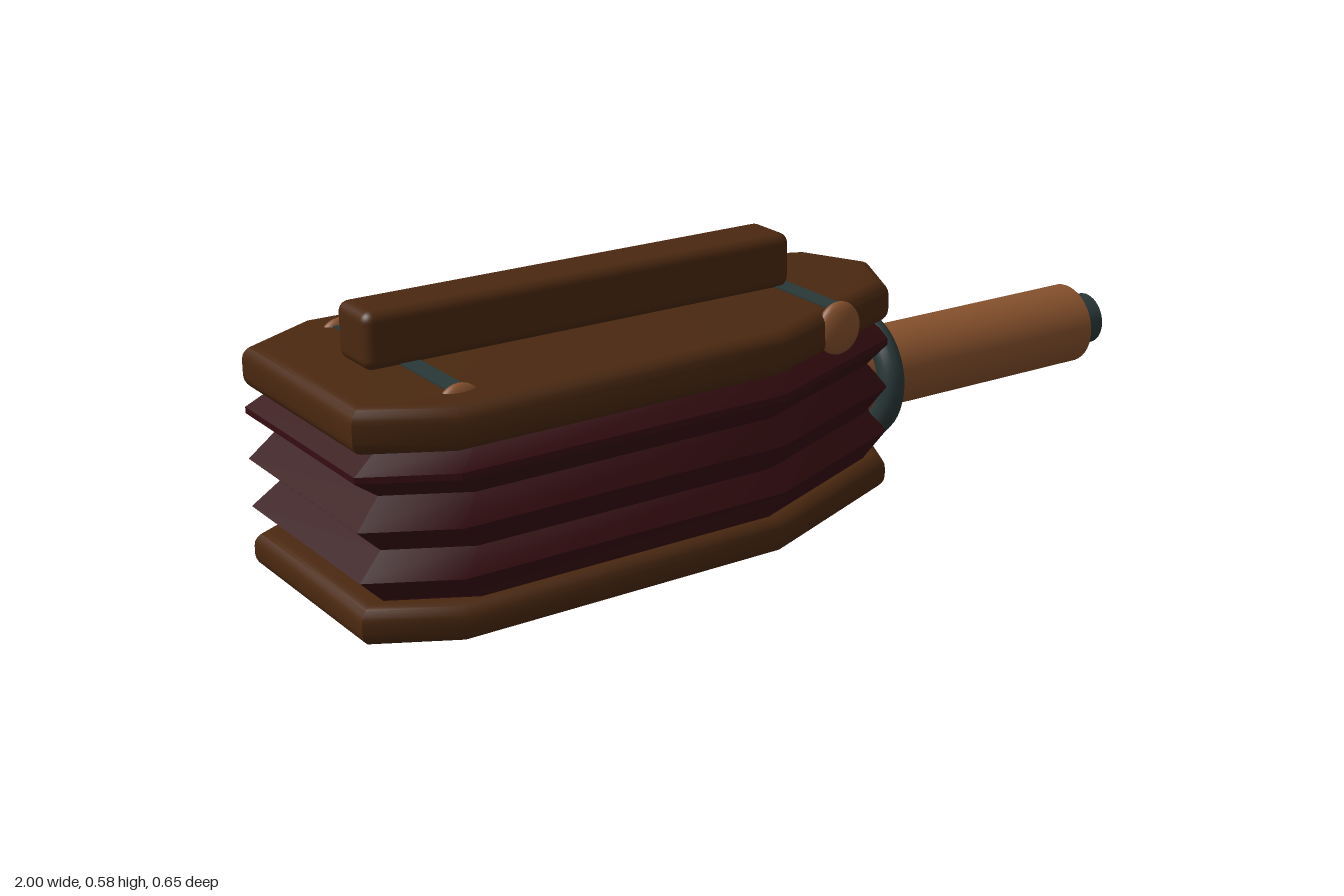
import * as THREE from 'three';
import { toCreasedNormals } from 'three/addons/utils/BufferGeometryUtils.js';
import { RoundedBoxGeometry } from 'three/addons/geometries/RoundedBoxGeometry.js';

const darkWood = new THREE.MeshStandardMaterial({ name: 'darkWood', color: 0x4a2810 });
const lightWood = new THREE.MeshStandardMaterial({ name: 'lightWood', color: 0x85502c });
const leather = new THREE.MeshStandardMaterial({ name: 'leather', color: 0x360d11 });
const iron = new THREE.MeshStandardMaterial({ name: 'iron', color: 0x2a3838 });

// Plan outline of boards and leather, as [x, z], symmetric about z = 0
const side = [[-1, 0.233], [-0.83, 0.325], [-0.1, 0.315], [0.29, 0.15]];
const outline = [...side, [0.36, 0], ...side.map(([x, z]) => [x, -z]).reverse()];

const NOZZLE_Y = 0.218;

function add(parent, name, geometry, material, x = 0, y = 0, z = 0) {
  const mesh = new THREE.Mesh(geometry, material);
  mesh.name = name;
  mesh.position.set(x, y, z);
  parent.add(mesh);
  return mesh;
}

// Board with rounded edges, standing on y = 0
function boardGeometry(height) {
  const bevel = 0.03;
  const shape = new THREE.Shape(outline.map(([x, z]) => new THREE.Vector2(x, z)));
  const geometry = new THREE.ExtrudeGeometry(shape, {
    depth: height - 2 * bevel,
    bevelThickness: bevel,
    bevelSize: bevel,
    bevelOffset: -bevel,
    bevelSegments: 5,
  });
  geometry.rotateX(-Math.PI / 2).translate(0, bevel, 0);
  return toCreasedNormals(geometry, 0.6);
}

// Pleated leather wall: the outline scaled in and out at each fold
function pleatGeometry() {
  const folds = [[0.065, 0.92], [0.08, 0.92], [0.132, 1], [0.18, 0.92], [0.232, 1],
    [0.287, 0.92], [0.327, 1], [0.34, 1], [0.376, 0.92], [0.39, 0.92]];
  const cx = -0.32;
  const n = outline.length;
  const positions = [];
  const indices = [];
  folds.forEach(([y, s], k) => {
    outline.forEach(([x, z], i) => {
      positions.push(cx + (x - cx) * s, y, z * s);
      if (k === folds.length - 1) return;
      const a = k * n + i;
      const b = k * n + (i + 1) % n;
      indices.push(a, b, b + n, a, b + n, a + n);
    });
  });
  const geometry = new THREE.BufferGeometry();
  geometry.setAttribute('position', new THREE.Float32BufferAttribute(positions, 3));
  geometry.setIndex(indices);
  return toCreasedNormals(geometry, 0.5);
}

// Cylinder lying along x from x0 to x1
function rod(x0, x1, radius) {
  return new THREE.CylinderGeometry(radius, radius, x1 - x0, 40)
    .rotateZ(-Math.PI / 2)
    .translate((x0 + x1) / 2, 0, 0);
}

export function createModel() {
  const model = new THREE.Group();
  model.name = 'bellows';

  // Body
  add(model, 'bottomBoard', boardGeometry(0.078), darkWood);
  add(model, 'topBoard', boardGeometry(0.092), darkWood, 0, 0.375);
  add(model, 'leatherPleats', pleatGeometry(), leather);

  // Handle on the top board
  add(model, 'handle', new RoundedBoxGeometry(0.98, 0.116, 0.124, 4, 0.022), darkWood, -0.39, 0.523);

  // Iron straps with a wooden knob at each end
  for (const [x, label] of [[-0.785, 'back'], [0.087, 'front']]) {
    const strap = new THREE.Group();
    strap.name = `${label}Strap`;
    model.add(strap);
    add(strap, 'band', new THREE.BoxGeometry(0.042, 0.09, 0.46), iron, x, 0.425);
    for (const s of [1, -1]) {
      const knob = add(strap, s > 0 ? 'frontKnob' : 'backKnob',
        new THREE.SphereGeometry(1, 28, 20), lightWood, x, 0.425, s * 0.242);
      knob.scale.set(0.052, 0.056, 0.022);
    }
  }

  // Nozzle with collar and tip
  const nozzle = new THREE.Group();
  nozzle.name = 'nozzle';
  nozzle.position.y = NOZZLE_Y;
  model.add(nozzle);
  add(nozzle, 'collar', new THREE.TorusGeometry(0.119, 0.029, 20, 48).rotateY(Math.PI / 2), iron, 0.327);
  add(nozzle, 'barrel', rod(0.26, 0.936, 0.09), lightWood);
  add(nozzle, 'tip', rod(0.9, 1, 0.058), iron);

  return model;
}
